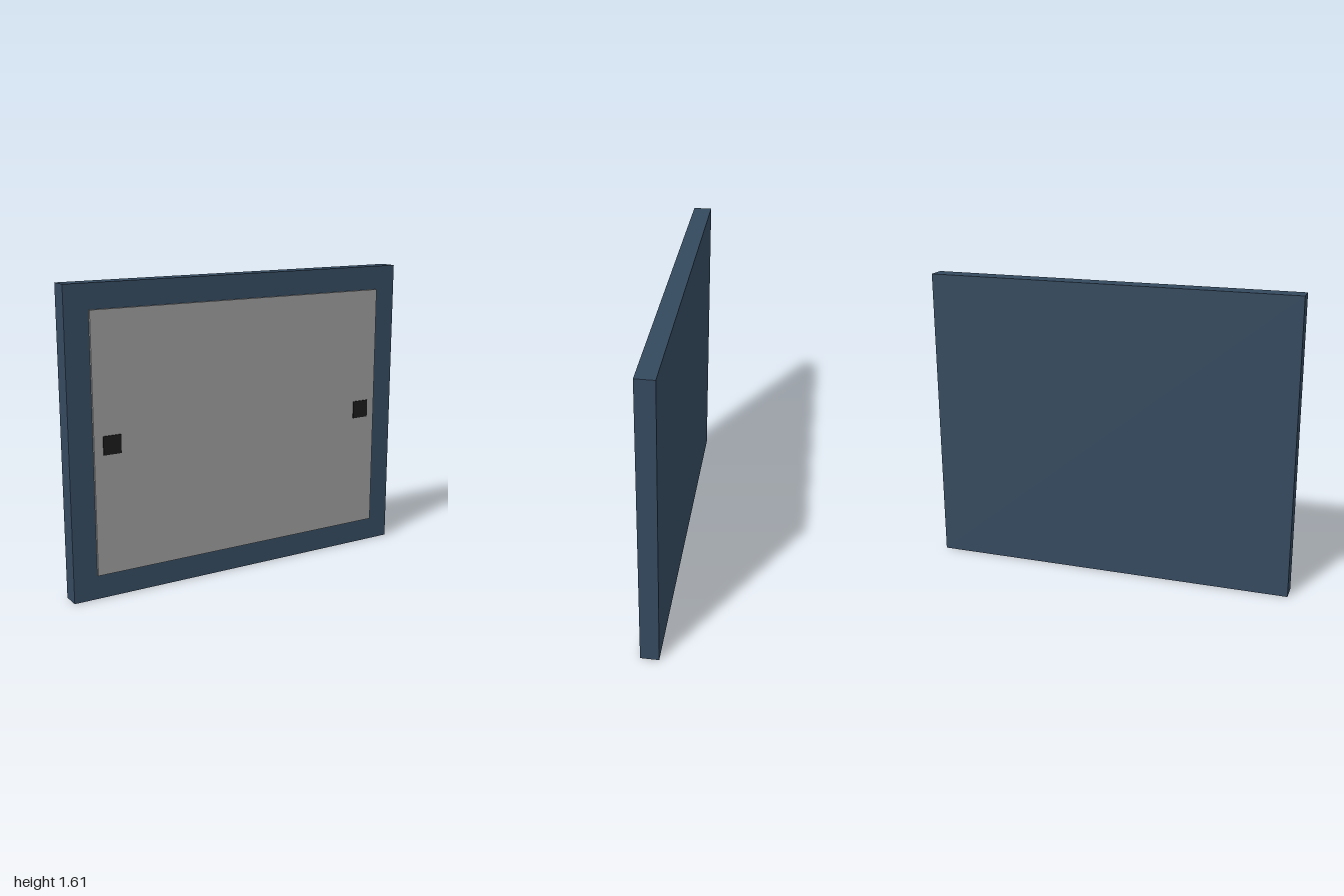
import * as THREE from 'three';

const HEIGHT = 1.613;

// Box given by its size, centre x and its back and front z, centred on mid height
function slab(name, w, h, x, zBack, zFront, color) {
  const mesh = new THREE.Mesh(
    new THREE.BoxGeometry(w, h, zFront - zBack),
    new THREE.MeshStandardMaterial({ color })
  );
  mesh.name = name;
  mesh.position.set(x, HEIGHT / 2, (zBack + zFront) / 2);
  return mesh;
}

export function createModel() {
  const group = new THREE.Group();
  group.name = 'framedPanel';

  // Backing board whose rim shows as the frame
  group.add(slab('frame', 2, HEIGHT, 0, -0.058, 0.039, 0x34495e));

  // Raised front panel
  group.add(slab('panel', 1.742, 1.355, 0, 0.032, 0.052, 0x999999));

  // Square pads near the left and right edges of the panel
  for (const [name, side] of [['leftPad', 1], ['rightPad', -1]]) {
    group.add(slab(name, 0.097, 0.097, side * 0.774, 0.045, 0.058, 0x1a1a1a));
  }
  return group;
}
